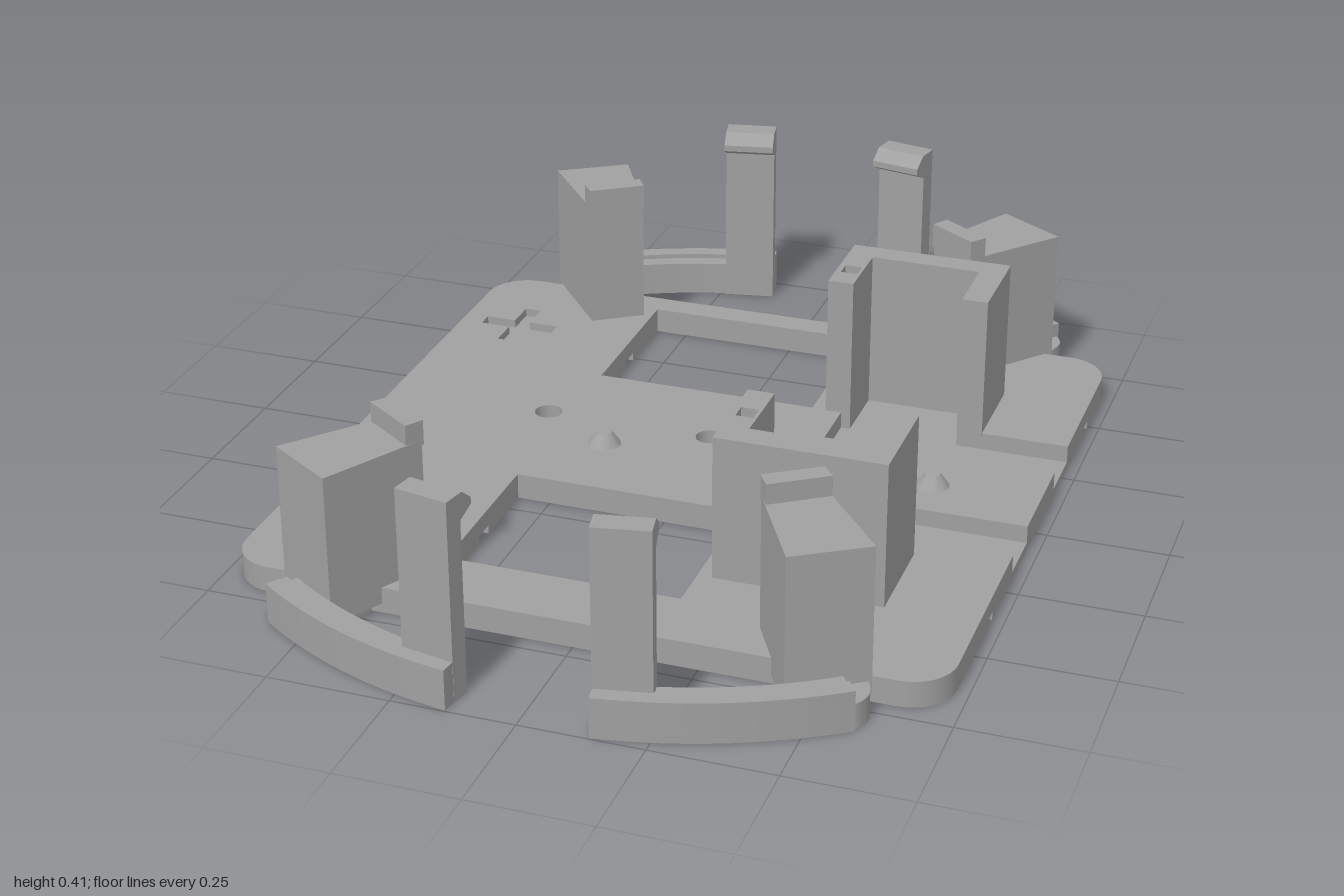
import * as THREE from 'three';
import { toCreasedNormals } from 'three/addons/utils/BufferGeometryUtils.js';

const grey = new THREE.MeshStandardMaterial({ color: 0xa0a0a0 });
grey.name = 'grey plastic';

// Closed path through [x, z, cornerRadius?] points
function path(points, Type = THREE.Shape) {
  const p = new Type();
  const n = points.length;
  points.forEach(([x, z, r], i) => {
    const go = (...a) => (i === 0 ? p.moveTo(...a) : p.lineTo(...a));
    if (!r) return go(x, z);
    const toward = ([qx, qz], d) => {
      const l = Math.hypot(qx - x, qz - z);
      return [x + ((qx - x) / l) * d, z + ((qz - z) / l) * d];
    };
    const prev = points[(i + n - 1) % n], next = points[(i + 1) % n];
    go(...toward(prev, r));
    p.bezierCurveTo(...toward(prev, r * 0.45), ...toward(next, r * 0.45), ...toward(next, r));
  });
  p.closePath();
  return p;
}

const rect = (x0, x1, z0, z1) => [[x0, z0], [x1, z0], [x1, z1], [x0, z1]];

function add(group, name, geometry) {
  const mesh = new THREE.Mesh(toCreasedNormals(geometry, 0.5), grey);
  mesh.name = name;
  group.add(mesh);
  return mesh;
}

// Plan outline in (x, z) raised from y0 to y1
function slab(group, name, points, y0, y1, holes = []) {
  const shape = path(points);
  shape.holes = holes.map((h) => (Array.isArray(h) ? path(h, THREE.Path) : h));
  const g = new THREE.ExtrudeGeometry(shape, { depth: y1 - y0, bevelEnabled: false, curveSegments: 8 });
  g.rotateX(Math.PI / 2).translate(0, y1, 0);
  return add(group, name, g);
}

function buildPlate(root) {
  const plate = new THREE.Group();
  plate.name = 'basePlate';
  root.add(plate);
  const W = 0.725, D = 0.715, R = 0.09, L = -0.32, X = 0.165;
  const floor = 0.018, engrave = 0.037, top = 0.055;
  const screwHoles = [-0.365, 0, 0.36].map((x) => new THREE.Path().absarc(x, -0.088, 0.03, 0, Math.PI * 2, true));

  // Underside strips, separated by two cross grooves
  slab(plate, 'undersideBack', [[-W, -0.49], [-W, -D, R], [W, -D, R], [W, -0.49],
    [X, -0.49], [X, -0.655], [L, -0.655], [L, -0.49]], 0, floor);
  slab(plate, 'undersideMiddle', [[-W, -0.445], [L, -0.445], [L, -0.29], [X, -0.29], [X, -0.445], [W, -0.445],
    [W, 0.36], [X, 0.36], [X, 0.2], [L, 0.2], [L, 0.36], [-W, 0.36]], 0, floor, screwHoles);
  slab(plate, 'undersideFront', [[-W, 0.41], [-W, D, R], [W, D, R], [W, 0.41],
    [X, 0.41], [X, 0.567], [L, 0.567], [L, 0.41]], 0, floor);

  // Upper layers with windows, cable channels and engraved polarity marks
  const outline = [[-W, -D, R], [W, -D, R],
    [W, -0.29], [0.485, -0.29], [0.485, -0.435], [0.25, -0.435], [0.25, -0.29], [0.23, -0.29], [0.23, -0.165], [W, -0.165],
    [W, 0.075], [0.23, 0.075], [0.23, 0.2], [0.25, 0.2], [0.25, 0.415], [0.485, 0.415], [0.485, 0.2], [W, 0.2],
    [W, D, R], [-W, D, R]];
  const windows = [rect(L, X, -0.655, -0.29), rect(L, X, 0.2, 0.567)];
  const a = 0.085, b = 0.018, cx = -0.59, cz = -0.475;
  const plus = [[-b, -a], [b, -a], [b, -b], [a, -b], [a, b], [b, b], [b, a], [-b, a], [-b, b], [-a, b], [-a, -b], [-b, -b]]
    .map(([x, z]) => [cx + x, cz + z]);
  const minus = rect(cx - a, cx + a, 0.363, 0.4);
  slab(plate, 'plateCore', outline, floor, engrave, [...windows, ...screwHoles]);
  slab(plate, 'plateTop', outline, engrave, top, [...windows, ...screwHoles, plus, minus]);

  // Locating studs
  for (const [x, z] of [[-0.2, 0.01], [0.5, -0.033]]) {
    add(plate, 'stud', new THREE.CylinderGeometry(0.016, 0.035, 0.027, 24).translate(x, top + 0.0135, z));
  }
}

// U-shaped contact housings, opening toward the middle
function buildHousing(root, name, zOpen, zInner, zOuter, slotZ) {
  slab(root, name, [[0.195, zOpen], [0.25, zOpen], [0.25, zInner], [0.485, zInner],
    [0.485, zOpen], [0.54, zOpen], [0.54, zOuter], [0.195, zOuter]], 0.05, 0.36,
  [rect(0.207, 0.243, slotZ - 0.018, slotZ + 0.018)]);
}

// One corner: curved bumper, pad, angled post and snap clip
function buildCorner(root, sx, sz) {
  const corner = new THREE.Group();
  corner.name = (sz > 0 ? 'front' : 'back') + (sx > 0 ? 'Left' : 'Right') + 'Corner';
  root.add(corner);
  const place = (pts) => pts.map(([x, z, r]) => [x * sx, z * sz, r]);

  const band = (r0, r1, a0, a1) => {
    const outer = [], inner = [];
    for (let i = 0; i <= 16; i++) {
      const t = THREE.MathUtils.degToRad(a0 + ((a1 - a0) * i) / 16);
      outer.push([r1 * Math.sin(t), r1 * Math.cos(t)]);
      inner.unshift([r0 * Math.sin(t), r0 * Math.cos(t)]);
    }
    return place([...outer, ...inner]);
  };
  slab(corner, 'bumperRim', band(0.972, 1.007, 8, 35.5), 0, 0.085);
  slab(corner, 'bumperLedge', band(0.938, 0.972, 8, 35.5), 0, 0.075);
  slab(corner, 'bumperPad', place([[0.4, 0.66], [0.45, 0.83], [0.53, 0.845],
    [0.605, 0.805, 0.04], [0.59, 0.735, 0.03], [0.53, 0.66]]), 0, 0.054);

  // Post with a raised lip on its inner end
  slab(corner, 'post', place([[0.339, 0.617], [0.44, 0.548], [0.59, 0.73], [0.45, 0.82]]), 0.02, 0.335);
  slab(corner, 'postLip', place([[0.336, 0.614], [0.438, 0.545], [0.463, 0.576], [0.358, 0.648]]), 0.325, 0.377);

  // Snap clip with a sloped hook, profile in (radius, height)
  const width = 0.112;
  const clip = new THREE.ExtrudeGeometry(path([[0.932, 0], [0.974, 0], [0.974, 0.415], [0.925, 0.415],
    [0.897, 0.392], [0.897, 0.378], [0.932, 0.36]]), { depth: width, bevelEnabled: false });
  clip.translate(0, 0, -width / 2);
  const angle = Math.atan2(sx * 0.185, sz * 0.93);
  add(corner, 'snapClip', clip.rotateY(angle - Math.PI / 2));
}

export function createModel() {
  const root = new THREE.Group();
  root.name = 'mountingTray';
  buildPlate(root);
  buildHousing(root, 'backHousing', -0.288, -0.435, -0.488, -0.358);
  buildHousing(root, 'frontHousing', 0.257, 0.415, 0.472, 0.352);
  for (const sx of [1, -1]) for (const sz of [1, -1]) buildCorner(root, sx, sz);
  return root;
}
